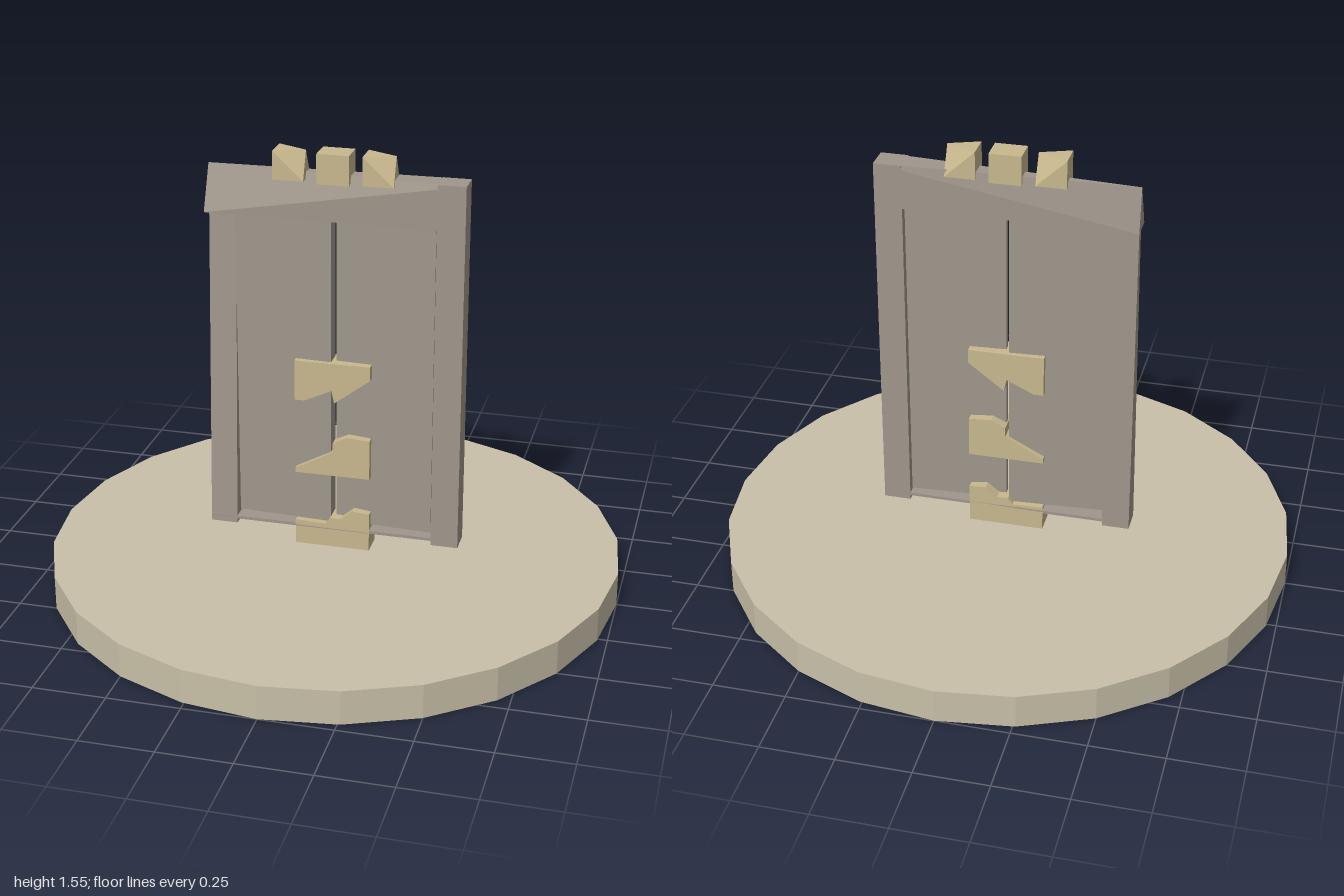
import * as THREE from 'three';
import { ConvexGeometry } from 'three/addons/geometries/ConvexGeometry.js';

export function createModel() {
  const model = new THREE.Group();
  const material = (name, color) => {
    const m = new THREE.MeshStandardMaterial({ color, flatShading: true });
    m.name = name;
    return m;
  };
  const sand = material('sand', 0xc8c0a8);
  const brass = material('brass', 0xc8b88e);
  const stone = material('stone', 0xa0978c);
  const D = 0.045; // half depth of the gate

  const add = (name, geometry, mat) => {
    const mesh = new THREE.Mesh(geometry, mat);
    mesh.name = name;
    model.add(mesh);
    return mesh;
  };
  const box = (name, x0, x1, y0, y1, d, mat) =>
    add(name, new THREE.BoxGeometry(x1 - x0, y1 - y0, d * 2), mat)
      .position.set((x0 + x1) / 2, (y0 + y1) / 2, 0);
  // Solid spanned by a few corner points
  const hull = (name, points, mat) =>
    add(name, new ConvexGeometry(points.map((p) => new THREE.Vector3(...p))), mat);
  // Outline in x and y, extruded through the gate
  const plate = (name, outline, mat) => {
    const shape = new THREE.Shape(outline.map((p) => new THREE.Vector2(...p)));
    const geometry = new THREE.ExtrudeGeometry(shape, { depth: D * 2, bevelEnabled: false });
    add(name, geometry.translate(0, 0, -D), mat);
  };

  // Round base
  add('base', new THREE.CylinderGeometry(1, 1, 0.12, 24), sand).position.y = 0.06;

  // Frame: square right-hand post, tapered post, lintel narrowing to a ridge
  box('leftPost', 0.35, 0.445, 0.17, 1.475, D, stone);
  const post = [];
  for (const x of [-0.445, -0.35]) {
    post.push([x, 0.17, -D], [x, 0.17, D], [x, 1.32, -D], [x, 1.32, -0.015]);
  }
  hull('rightPost', post, stone);
  hull('lintel', [
    [-0.445, 1.32, -D], [-0.445, 1.32, D], [-0.445, 1.475, -0.02],
    [0.44, 1.32, -D], [0.44, 1.32, D], [0.44, 1.475, -D], [0.44, 1.475, D],
  ], stone);
  box('sill', -0.445, 0.35, 0.186, 0.197, D, stone);

  // Door leaves, each thicker toward its +x edge
  for (const [name, x0, x1] of [['rightDoor', -0.347, -0.01], ['leftDoor', 0.004, 0.346]]) {
    const leaf = [];
    for (const y of [0.21, 1.325]) {
      for (const s of [-1, 1]) leaf.push([x0, y, s * 0.01], [x1, y, s * 0.03]);
    }
    hull(name, leaf, stone);
  }

  // Broken bars across the doors
  plate('upperBar', [[-0.135, 0.815], [-0.135, 0.67], [-0.1, 0.67], [-0.005, 0.715],
    [0.005, 0.67], [0.13, 0.765], [0.13, 0.815]], brass);
  plate('middleBar', [[-0.135, 0.395], [0.13, 0.395], [0.13, 0.54], [0.05, 0.545],
    [0, 0.52], [0, 0.485], [-0.135, 0.41]], brass);
  plate('lowerBar', [[-0.135, 0.12], [0.13, 0.12], [0.13, 0.2], [-0.135, 0.21]], brass);
  plate('lowerBarChip', [[-0.03, 0.2], [0.13, 0.2], [0.13, 0.26], [0.07, 0.265],
    [0.03, 0.23], [-0.01, 0.23]], brass);

  // Crown blocks: a cube between two blocks with triangular tops
  box('middleCrownBlock', -0.055, 0.055, 1.447, 1.55, D, brass);
  for (const [name, x] of [['rightCrownBlock', -0.205], ['leftCrownBlock', 0.1]]) {
    const x1 = x + 0.105;
    hull(name, [
      [x, 1.55, -D], [x, 1.55, D], [x1, 1.55, 0.005],
      [x, 1.452, -D], [x, 1.452, D], [x1, 1.452, -D], [x1, 1.452, D],
    ], brass);
  }
  return model;
}
